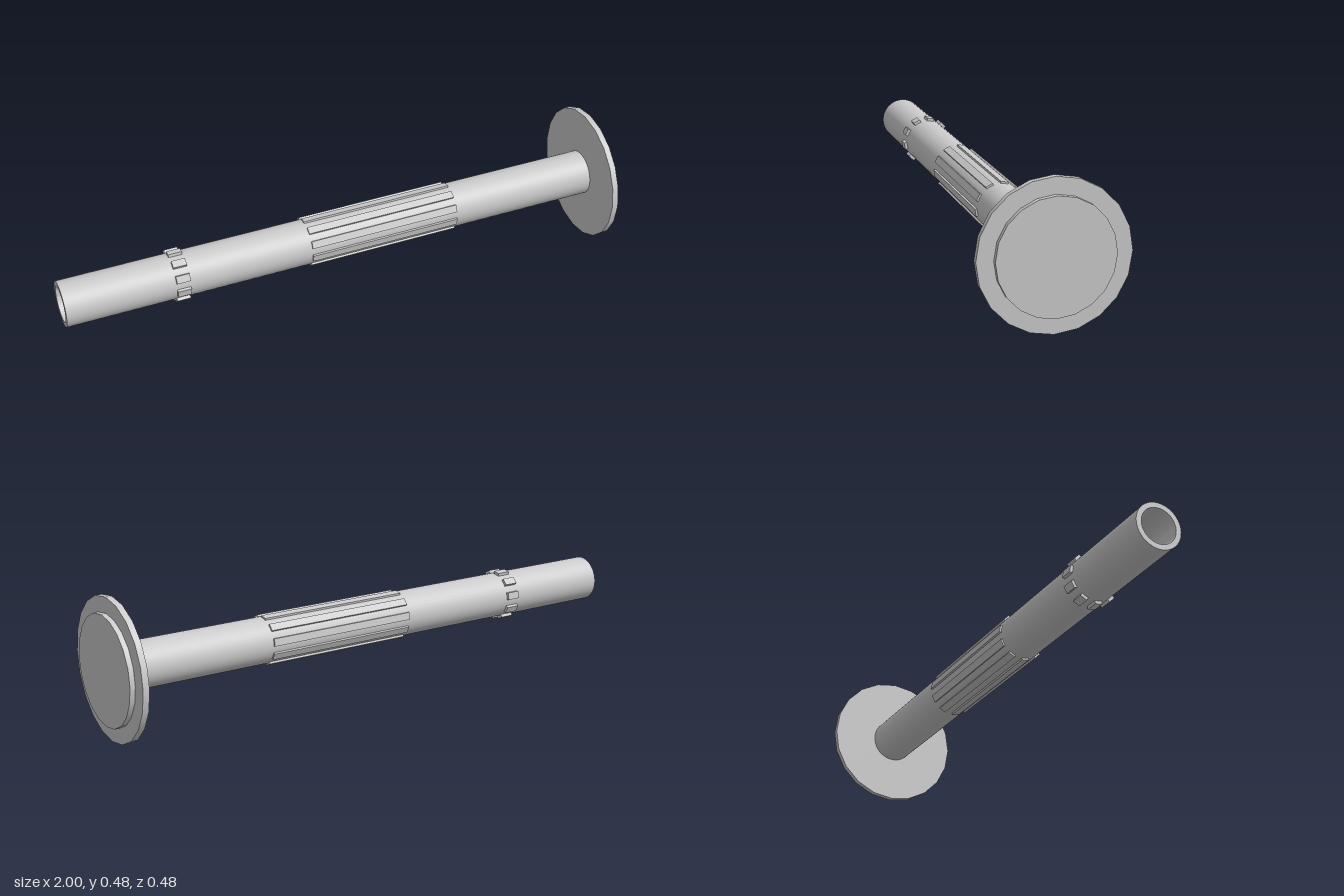
import * as THREE from 'three';
import { toCreasedNormals } from 'three/addons/utils/BufferGeometryUtils.js';

const AXIS_Y = 0.242;

export function createModel() {
  const group = new THREE.Group();
  const material = new THREE.MeshStandardMaterial({ color: 0xcccccc });

  const add = (name, geometry, parent = group) => {
    const mesh = new THREE.Mesh(geometry, material);
    mesh.name = name;
    parent.add(mesh);
    return mesh;
  };

  // Hollow shaft, open at the -x end
  const profile = [[0.062, 0.96], [0.062, -1], [0.08, -1], [0.08, 0.96]]
    .map(([r, y]) => new THREE.Vector2(r, y));
  const shaft = new THREE.LatheGeometry(profile, 40).rotateZ(-Math.PI / 2);
  add('shaft', toCreasedNormals(shaft, 0.6)).position.y = AXIS_Y;

  // Stepped end flange
  const disc = (name, radius, x0, x1) => {
    const geometry = new THREE.CylinderGeometry(radius, radius, x1 - x0, 20).rotateZ(-Math.PI / 2);
    add(name, geometry).position.set((x0 + x1) / 2, AXIS_Y, 0);
  };
  disc('flange', 0.242, 0.96, 0.982);
  disc('flangeCap', 0.188, 0.982, 1);

  // Ten raised bars spaced evenly around the shaft
  const ring = (name, x0, x1, outer, width) => {
    const parts = new THREE.Group();
    parts.name = name + 's';
    parts.position.set((x0 + x1) / 2, AXIS_Y, 0);
    const inner = 0.07;
    const geometry = new THREE.BoxGeometry(x1 - x0, width, outer - inner)
      .translate(0, 0, (outer + inner) / 2);
    for (let i = 0; i < 10; i++) {
      add(name, geometry, parts).rotation.x = -THREE.MathUtils.degToRad(27 + i * 36);
    }
    group.add(parts);
  };
  ring('gripRib', -0.13, 0.42, 0.086, 0.026);
  ring('collarLug', -0.62, -0.572, 0.09, 0.026);

  return group;
}
